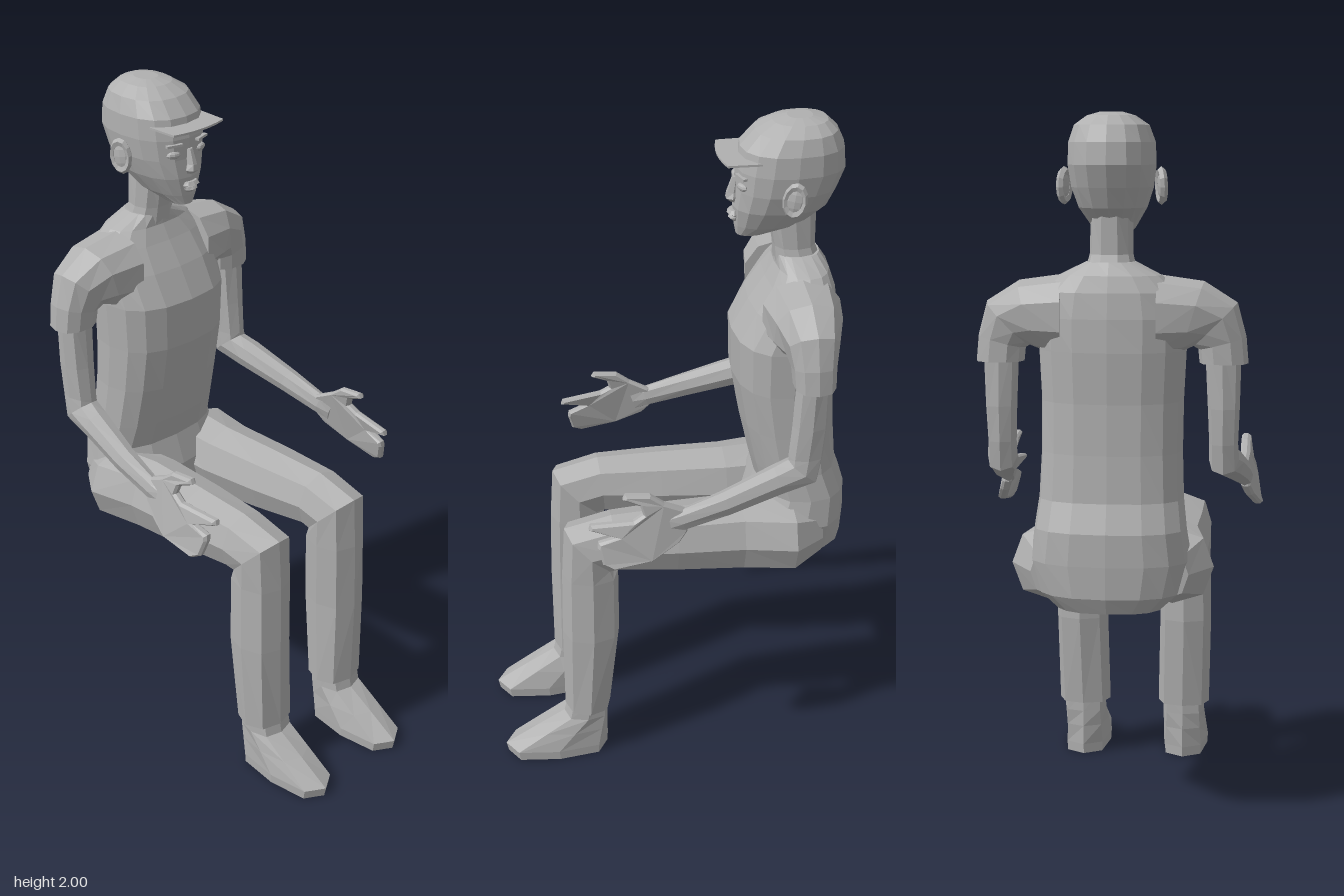
import * as THREE from 'three';

const grey = new THREE.MeshStandardMaterial({ color: 0xb0b0b0 });
grey.name = 'plain grey';

// Flat-faced copy; flips the winding when the volume comes out negative
function faceted(geo) {
  const g = geo.index ? geo.toNonIndexed() : geo;
  const p = g.attributes.position;
  const a = new THREE.Vector3(), b = new THREE.Vector3(), c = new THREE.Vector3(), n = new THREE.Vector3();
  let volume = 0;
  for (let i = 0; i < p.count; i += 3) {
    a.fromBufferAttribute(p, i); b.fromBufferAttribute(p, i + 1); c.fromBufferAttribute(p, i + 2);
    volume += a.dot(n.crossVectors(b, c));
  }
  if (volume < 0) {
    for (let i = 0; i < p.count; i += 3) {
      b.fromBufferAttribute(p, i + 1); c.fromBufferAttribute(p, i + 2);
      p.setXYZ(i + 1, c.x, c.y, c.z);
      p.setXYZ(i + 2, b.x, b.y, b.z);
    }
  }
  g.computeVertexNormals();
  return g;
}

// Cross-section across x; deg 0 lies level, deg 90 stands upright
function ring(x, y, z, rx, r, deg = 0) {
  const t = deg * Math.PI / 180;
  return { c: [x, y, z], u: [rx, 0, 0], v: [0, r * Math.sin(t), r * Math.cos(t)] };
}

// Cross-section that tilts in the front plane, for the shoulders
function tilted(x, y, z, r, rz, deg) {
  const t = deg * Math.PI / 180;
  return { c: [x, y, z], u: [r * Math.cos(t), r * Math.sin(t), 0], v: [0, 0, rz] };
}

// Capped skin through cross-sections; power below 1 squares them off
function loft(rings, sides = 8, power = 0.85) {
  const pos = [], idx = [];
  const bend = (t) => Math.sign(t) * Math.pow(Math.abs(t) < 1e-6 ? 0 : Math.abs(t), power);
  rings.forEach(({ c, u, v }) => {
    for (let i = 0; i < sides; i++) {
      const a = i / sides * Math.PI * 2, s = bend(Math.cos(a)), t = bend(Math.sin(a));
      for (let k = 0; k < 3; k++) pos.push(c[k] + u[k] * s + v[k] * t);
    }
  });
  const last = (rings.length - 1) * sides, ends = rings.length * sides;
  pos.push(...rings[0].c, ...rings[rings.length - 1].c);
  for (let i = 0; i < sides; i++) {
    const j = (i + 1) % sides;
    for (let r = 0; r < last; r += sides) {
      idx.push(r + i, r + j, r + sides + j, r + i, r + sides + j, r + sides + i);
    }
    idx.push(ends, j, i, ends + 1, last + i, last + j);
  }
  const g = new THREE.BufferGeometry();
  g.setAttribute('position', new THREE.Float32BufferAttribute(pos, 3));
  g.setIndex(idx);
  return faceted(g);
}

export function createModel() {
  const model = new THREE.Group();
  const add = (name, geo) => {
    const mesh = new THREE.Mesh(geo, grey);
    mesh.name = name;
    model.add(mesh);
  };
  const pair = (name, geo) => {
    add('left' + name, geo);
    add('right' + name, faceted(geo.clone().scale(-1, 1, 1)));
  };

  // Body: y, centre z, half width, half depth
  const body = [
    [0.645, -0.39, 0.15, 0.12], [0.69, -0.385, 0.2, 0.145], [0.78, -0.385, 0.225, 0.147],
    [0.87, -0.4, 0.212, 0.13], [0.95, -0.375, 0.202, 0.126], [1.08, -0.355, 0.197, 0.136],
    [1.22, -0.34, 0.198, 0.146], [1.36, -0.34, 0.205, 0.15], [1.45, -0.362, 0.207, 0.123],
    [1.52, -0.38, 0.19, 0.095], [1.565, -0.385, 0.14, 0.075], [1.6, -0.375, 0.068, 0.062],
  ];
  add('torso', loft(body.map(([y, z, w, d]) => ring(0, y, z, w, d)), 16, 0.8));
  add('neck', loft([ring(0, 1.56, -0.38, 0.075, 0.07), ring(0, 1.62, -0.365, 0.06, 0.06),
    ring(0, 1.73, -0.355, 0.058, 0.07)], 10));

  // Head: y, centre z, half width, half depth
  const skull = [
    [1.66, -0.24, 0.032, 0.042], [1.69, -0.29, 0.06, 0.098], [1.745, -0.32, 0.094, 0.133],
    [1.8, -0.335, 0.113, 0.143], [1.86, -0.347, 0.121, 0.154], [1.92, -0.35, 0.119, 0.146],
    [1.965, -0.36, 0.103, 0.115], [1.99, -0.37, 0.067, 0.078], [2, -0.37, 0.032, 0.036],
  ];
  add('head', loft(skull.map(([y, z, w, d]) => ring(0, y, z, w, d)), 16, 0.85));

  // Cap brim
  const brim = new THREE.Shape();
  brim.moveTo(-0.098, 0.25);
  brim.lineTo(-0.095, 0.155);
  brim.quadraticCurveTo(0, 0.127, 0.095, 0.155);
  brim.lineTo(0.098, 0.25);
  const brimGeo = new THREE.ExtrudeGeometry(brim, { depth: 0.006, bevelEnabled: false, curveSegments: 6 });
  add('capBrim', faceted(brimGeo.rotateX(-Math.PI / 2).translate(0, 1.895, 0)));

  // Face
  add('nose', loft([ring(0, 1.83, -0.196, 0.009, 0.012), ring(0, 1.785, -0.188, 0.014, 0.02),
    ring(0, 1.768, -0.185, 0.021, 0.019), ring(0, 1.757, -0.19, 0.014, 0.01)], 6, 1));
  add('upperLip', loft([ring(0, 1.733, -0.19, 0.022, 0.01), ring(0, 1.723, -0.189, 0.03, 0.017),
    ring(0, 1.719, -0.192, 0.028, 0.01)], 8, 1));
  add('lowerLip', loft([ring(0, 1.717, -0.193, 0.026, 0.01), ring(0, 1.709, -0.191, 0.023, 0.015),
    ring(0, 1.7, -0.196, 0.014, 0.009)], 8, 1));
  const eye = new THREE.SphereGeometry(0.022, 8, 6).scale(1, 0.5, 0.5);
  pair('Eye', faceted(eye.rotateY(0.35).translate(0.052, 1.818, -0.204)));
  const brow = new THREE.BoxGeometry(0.05, 0.007, 0.012);
  pair('Brow', faceted(brow.rotateY(0.3).translate(0.052, 1.847, -0.2)));

  // Ears
  const earTilt = (g) => faceted(g.rotateY(Math.PI / 2 - 0.35).rotateX(-0.15).translate(0.133, 1.803, -0.335));
  pair('EarRim', earTilt(new THREE.TorusGeometry(0.034, 0.01, 5, 12).scale(0.8, 1.2, 1.1)));
  pair('EarInner', earTilt(new THREE.SphereGeometry(0.033, 8, 6).scale(0.8, 1.2, 0.3)));

  // Shoulders and sleeves
  pair('Sleeve', loft([
    tilted(0.13, 1.455, -0.365, 0.11, 0.115, 90), tilted(0.225, 1.452, -0.365, 0.1, 0.098, 73),
    tilted(0.285, 1.43, -0.365, 0.085, 0.074, 45), tilted(0.304, 1.38, -0.366, 0.068, 0.062, 15),
    tilted(0.309, 1.325, -0.368, 0.067, 0.059, 0),
  ], 10));

  // Arms, bent at the elbow
  pair('Arm', loft([
    ring(0.307, 1.37, -0.365, 0.05, 0.046), ring(0.309, 1.2, -0.36, 0.044, 0.05),
    ring(0.309, 1.1, -0.352, 0.04, 0.05), ring(0.31, 1.053, -0.345, 0.042, 0.056, 40),
    ring(0.32, 1.033, -0.27, 0.043, 0.042, 75), ring(0.343, 0.985, -0.12, 0.034, 0.036, 72),
    ring(0.354, 0.947, 0.01, 0.024, 0.032, 72), ring(0.36, 0.935, 0.05, 0.016, 0.035, 72),
  ]));

  // Hands: outline as (z, y), leaning outward toward the little finger
  const hand = new THREE.Shape([
    [0, 0.98], [0.06, 1.01], [0.1, 1.04], [0.17, 1.047], [0.178, 1.033], [0.13, 1.012],
    [0.122, 0.985], [0.15, 0.968], [0.27, 0.957], [0.275, 0.942], [0.195, 0.922], [0.25, 0.905],
    [0.253, 0.888], [0.24, 0.84], [0.21, 0.825], [0.1, 0.843], [0.02, 0.885], [-0.005, 0.915],
  ].map(([z, y]) => new THREE.Vector2(z, y)));
  const handGeo = new THREE.ExtrudeGeometry(hand, {
    depth: 0.012, bevelThickness: 0.008, bevelSize: 0.006, bevelOffset: -0.006, bevelSegments: 1,
  });
  const hp = handGeo.attributes.position;
  for (let i = 0; i < hp.count; i++) {
    const z = hp.getX(i), y = hp.getY(i), t = hp.getZ(i);
    const bow = 0.02 * Math.sin(Math.max(0, z) / 0.28 * Math.PI);
    hp.setXYZ(i, 0.349 + bow - (y - 0.93) * 0.2 + t, y, z);
  }
  pair('Hand', faceted(handGeo));

  // Legs: thigh, knee and shin in one bent skin
  pair('Leg', loft([
    ring(0.15, 0.745, -0.44, 0.07, 0.07, 90), ring(0.168, 0.75, -0.35, 0.117, 0.108, 90),
    ring(0.15, 0.752, -0.2, 0.105, 0.11, 90), ring(0.156, 0.76, 0, 0.098, 0.1, 90),
    ring(0.162, 0.767, 0.18, 0.084, 0.088, 85), ring(0.16, 0.748, 0.255, 0.081, 0.102, 45),
    ring(0.16, 0.66, 0.253, 0.08, 0.084), ring(0.163, 0.45, 0.255, 0.08, 0.086),
    ring(0.157, 0.17, 0.27, 0.08, 0.07),
  ]));

  // Feet: y, heel-to-toe centre, half width, half length
  const foot = [[0.2, 0.27, 0.064, 0.06], [0.14, 0.277, 0.065, 0.067], [0.09, 0.32, 0.068, 0.11],
    [0.03, 0.37, 0.072, 0.16], [0, 0.368, 0.07, 0.156]];
  pair('Foot', loft(foot.map(([y, z, w, l]) => ring(0.157, y, z, w, l)), 8, 0.7));

  return model;
}
